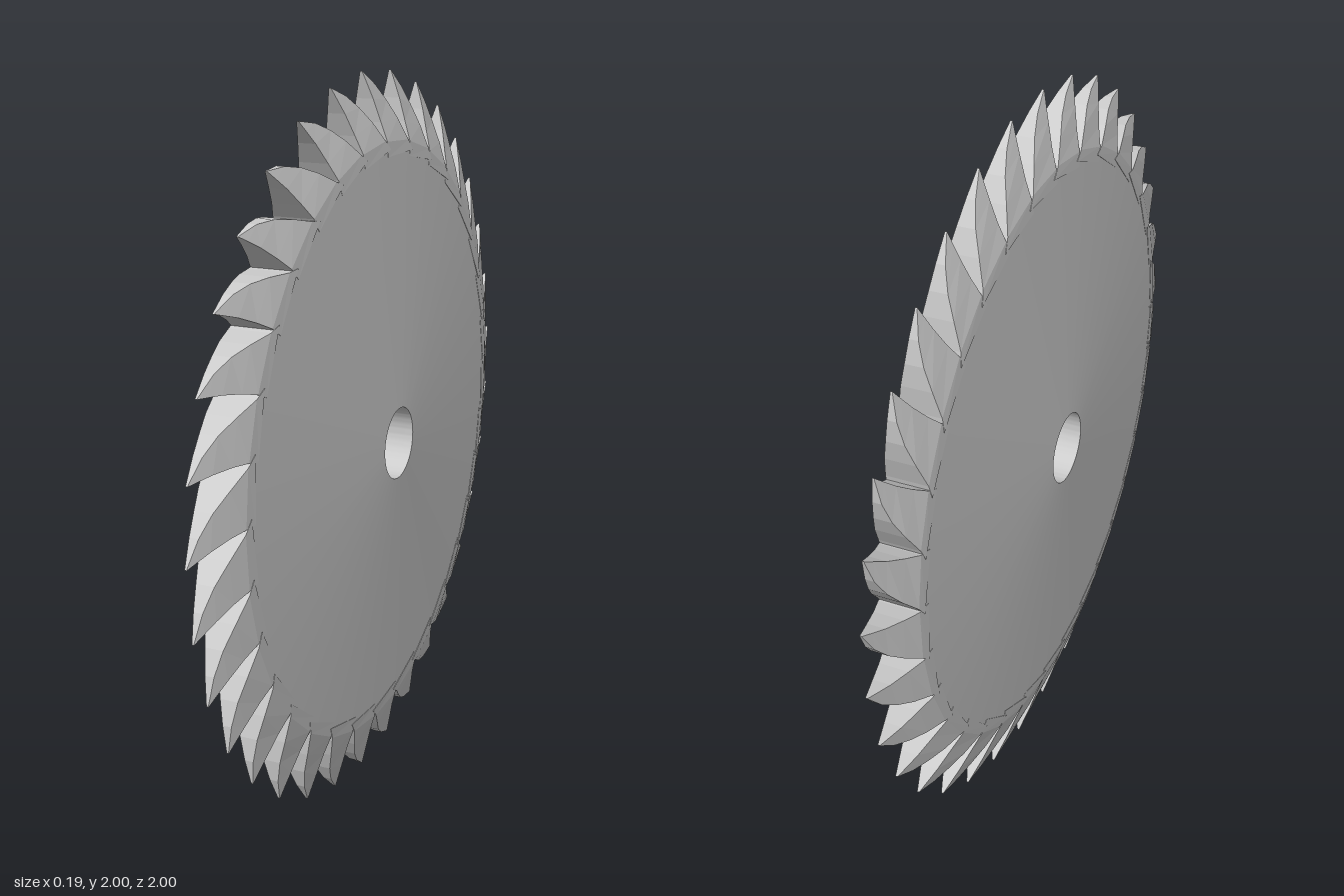
import * as THREE from 'three';
import { toCreasedNormals } from 'three/addons/utils/BufferGeometryUtils.js';

const TEETH = 33;

// Bored disc, thickest at the hub and thinning to the rim; axis along x
function discGeometry() {
  const profile = [[0.1, 0.094], [0.1, -0.094], [0.8, -0.056], [0.8, 0.056], [0.1, 0.094]]
    .map(([r, y]) => new THREE.Vector2(r, y));
  const geometry = new THREE.LatheGeometry(profile, 96).rotateZ(Math.PI / 2);
  return toCreasedNormals(geometry, 0.5);
}

// Hooked tooth lofted through four-sided sections from root to tip
function toothGeometry() {
  // half thickness, leading edge (y, z), trailing edge (y, z)
  const sections = [
    [0.058, 0.78, 0.0, 0.78, -0.17],
    [0.055, 0.82, 0.0, 0.81, -0.145],
    [0.04, 0.87, 0.008, 0.87, -0.105],
    [0.024, 0.93, 0.022, 0.92, -0.065],
    [0.012, 0.97, 0.035, 0.963, -0.018],
    [0.003, 1.0, 0.045, 0.998, 0.04],
  ];
  const positions = [];
  const index = [];
  sections.forEach(([h, ly, lz, ty, tz], level) => {
    positions.push(h, ly, lz, h, ty, tz, -h, ty, tz, -h, ly, lz);
    if (level === 0) return;
    const base = (level - 1) * 4;
    for (let i = 0; i < 4; i++) {
      const a = base + i;
      const b = base + (i + 1) % 4;
      index.push(a, b, b + 4, a, b + 4, a + 4);
    }
  });
  const top = (sections.length - 1) * 4;
  index.push(top, top + 1, top + 2, top, top + 2, top + 3);
  index.push(0, 2, 1, 0, 3, 2);
  const geometry = new THREE.BufferGeometry();
  geometry.setAttribute('position', new THREE.Float32BufferAttribute(positions, 3));
  geometry.setIndex(index);
  return toCreasedNormals(geometry, 0.1);
}

export function createModel() {
  const model = new THREE.Group();
  model.name = 'sawBlade';
  const smooth = new THREE.MeshStandardMaterial({ color: 0xcccccc });
  const faceted = new THREE.MeshStandardMaterial({ color: 0xcccccc, flatShading: true });

  const disc = new THREE.Mesh(discGeometry(), smooth);
  disc.name = 'disc';
  disc.position.y = 1;
  model.add(disc);

  // Ring of teeth around the rim
  const teeth = new THREE.Group();
  teeth.name = 'teeth';
  teeth.position.y = 1;
  const geometry = toothGeometry();
  for (let i = 0; i < TEETH; i++) {
    const tooth = new THREE.Mesh(geometry, faceted);
    tooth.name = 'tooth';
    tooth.rotation.x = (i / TEETH) * Math.PI * 2;
    teeth.add(tooth);
  }
  model.add(teeth);
  return model;
}
